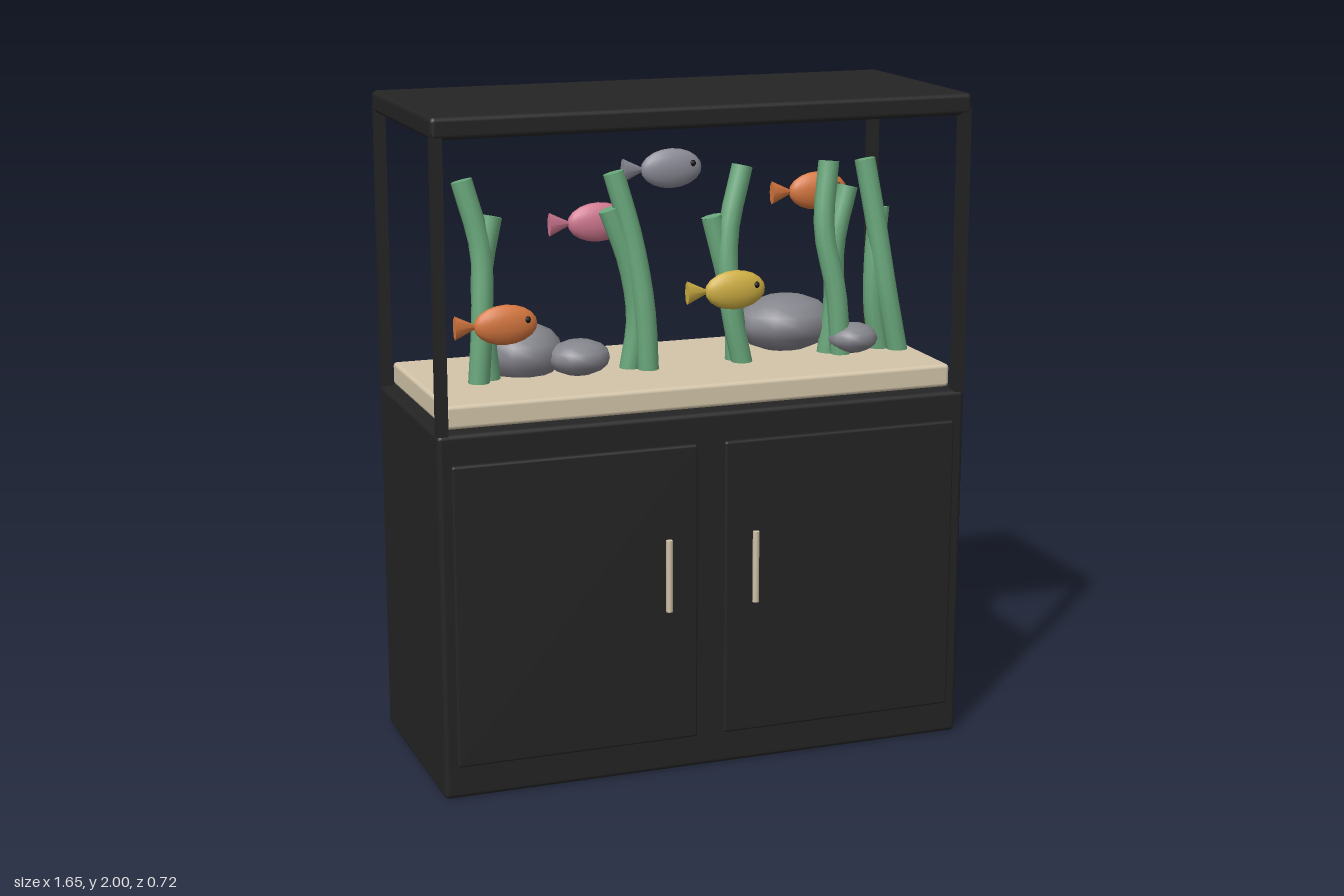
import * as THREE from 'three';
import { RoundedBoxGeometry } from 'three/addons/geometries/RoundedBoxGeometry.js';

const mat = (name, color, extra = {}) => {
  const m = new THREE.MeshStandardMaterial({ color, ...extra });
  m.name = name;
  return m;
};

export function createModel() {
  const black = mat('black cabinet', 0x242424);
  const sandMat = mat('sand', 0xd3c5aa);
  const metal = mat('handle metal', 0xcdc0a6);
  const green = mat('plant green', 0x6aa87c);
  const stone = mat('stone grey', 0x84848c);
  const orange = mat('orange', 0xd6773f);
  const yellow = mat('yellow', 0xd0b044);
  const pink = mat('pink', 0xd07890);
  const silver = mat('silver grey', 0x8c8c98);
  const eyeMat = mat('eye black', 0x111111);

  const model = new THREE.Group();
  model.name = 'aquarium';
  const add = (name, geometry, material, x, y, z, parent = model) => {
    const mesh = new THREE.Mesh(geometry, material);
    mesh.name = name;
    mesh.position.set(x, y, z);
    parent.add(mesh);
    return mesh;
  };
  const box = (name, w, h, d, r, material, x, y, z) =>
    add(name, new RoundedBoxGeometry(w, h, d, 2, r), material, x, y, z);

  // Cabinet, lid and sand bed
  const midZ = -0.0175;
  box('cabinet', 1.65, 1.1, 0.685, 0.015, black, 0, 0.55, midZ);
  box('lid', 1.65, 0.065, 0.685, 0.015, black, 0, 1.9675, midZ);
  box('sandBed', 1.58, 0.07, 0.615, 0.012, sandMat, 0, 1.14, midZ);

  // Doors, handles and corner posts
  for (const s of [-1, 1]) {
    box('door', 0.745, 0.91, 0.04, 0.008, black, s * 0.415, 0.555, 0.318);
    add('handle', new THREE.CylinderGeometry(0.01, 0.01, 0.22, 12), metal, s * 0.137, 0.62, 0.349);
    for (const z of [0.307, -0.342]) {
      add('cornerPost', new THREE.BoxGeometry(0.032, 0.86, 0.032), black, s * 0.807, 1.525, z);
    }
  }

  // Rocks: centre, then half sizes
  const ball = new THREE.SphereGeometry(1, 12, 8);
  for (const [x, y, z, a, b, c] of [
    [-0.455, 1.235, -0.065, 0.125, 0.09, 0.115],
    [-0.305, 1.225, 0.02, 0.097, 0.055, 0.08],
    [0.41, 1.255, -0.107, 0.16, 0.09, 0.128],
    [0.58, 1.222, 0.035, 0.08, 0.047, 0.068],
  ]) add('rock', ball, stone, x, y, z).scale.set(a, b, c);

  // Plants: each stem is a capped tube through x,y,z points
  const r = 0.032;
  const stem = (parent, pts) => {
    const curve = new THREE.CatmullRomCurve3(pts.map((p) => new THREE.Vector3(...p)));
    add('stem', new THREE.TubeGeometry(curve, 10, r, 10), green, 0, 0, 0, parent);
    const tip = add('stemTip', new THREE.CircleGeometry(r, 10), green, 0, 0, 0, parent);
    tip.position.copy(curve.getPoint(1));
    tip.quaternion.setFromUnitVectors(new THREE.Vector3(0, 0, 1), curve.getTangent(1));
  };
  // Per clump: x of the tall stem, x of the short stem, height of the short stem
  for (const [tall, short, top] of [
    [[-0.62, -0.605, -0.60, -0.648], [-0.573, -0.59, -0.595, -0.56], 1.66],
    [[-0.09, -0.1, -0.13, -0.182], [-0.138, -0.115, -0.14, -0.198], 1.66],
    [[0.215, 0.175, 0.175, 0.228], [0.205, 0.2, 0.165, 0.128], 1.62],
    [[0.54, 0.525, 0.49, 0.512], [0.51, 0.53, 0.53, 0.575], 1.69],
    [[0.735, 0.695, 0.665, 0.632], [0.69, 0.665, 0.665, 0.682], 1.62],
  ]) {
    const plant = new THREE.Group();
    plant.name = 'plant';
    model.add(plant);
    stem(plant, tall.map((x, i) => [x, 1.16 + i * 0.203, [0.035, 0.03, 0.01, -0.012][i]]));
    stem(plant, short.map((x, i) => [x, 1.16 + (i * (top - 1.16)) / 3, [-0.005, 0.0, 0.0, -0.01][i]]));
  }

  // Fish, all facing left
  const fishBody = new THREE.SphereGeometry(1, 14, 10).rotateZ(Math.PI / 2);
  const tailShape = new THREE.ConeGeometry(0.036, 0.075, 8).rotateZ(-Math.PI / 2).scale(1, 1, 0.5);
  for (const [material, x, y, z] of [
    [orange, -0.553, 1.357, 0.098],
    [yellow, 0.164, 1.412, 0.098],
    [pink, -0.194, 1.603, -0.125],
    [orange, 0.525, 1.66, -0.125],
    [silver, 0, 1.772, -0.012],
  ]) {
    const fish = new THREE.Group();
    fish.name = 'fish';
    fish.position.set(x, y, z);
    model.add(fish);
    add('body', fishBody, material, 0, 0, 0, fish).scale.set(0.096, 0.06, 0.032);
    add('tail', tailShape, material, -0.116, 0, 0, fish);
    for (const s of [-1, 1]) {
      add('eye', new THREE.SphereGeometry(0.01, 8, 6), eyeMat, 0.061, 0.015, s * 0.021, fish);
    }
  }
  return model;
}
